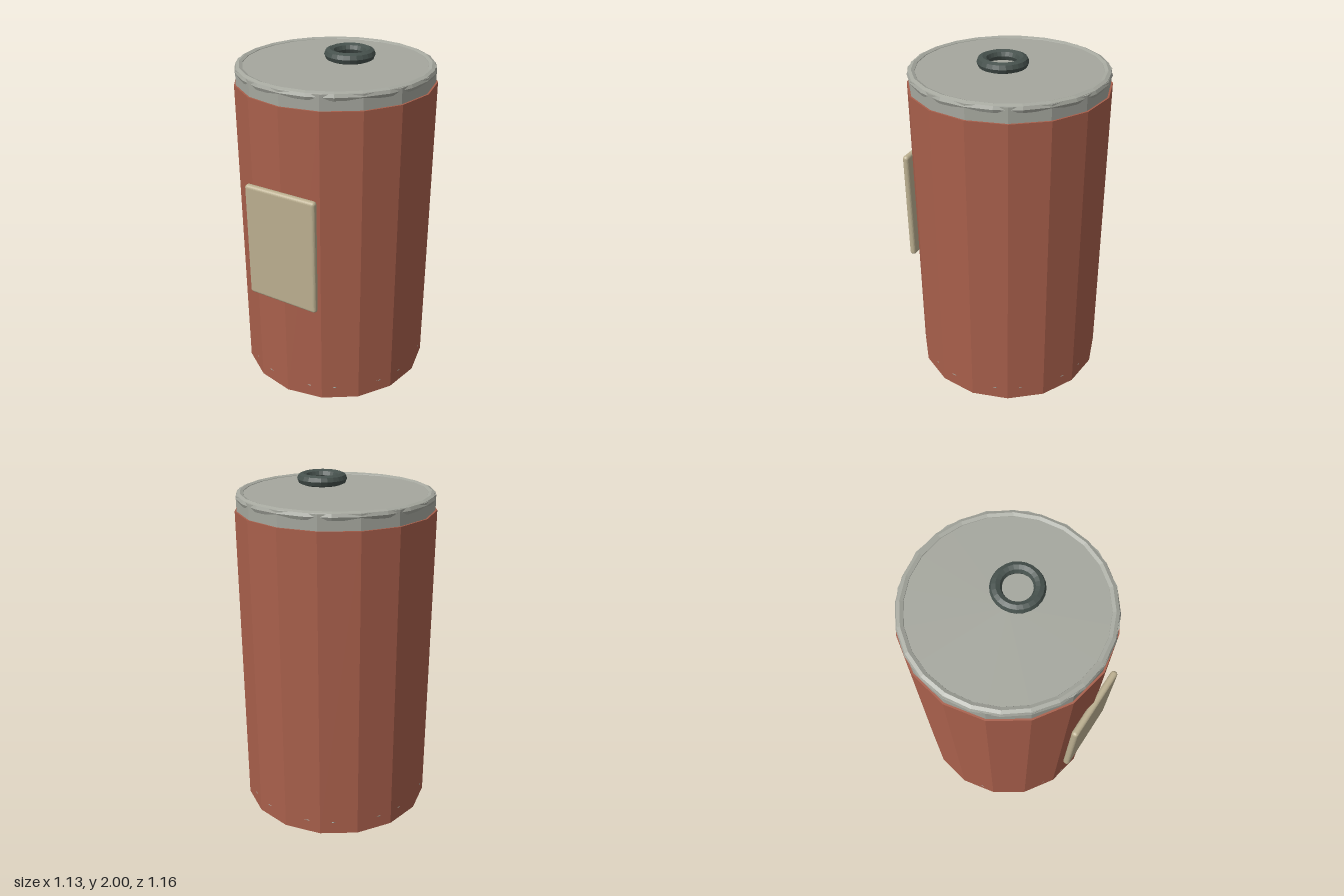
import * as THREE from 'three';
import { RoundedBoxGeometry } from 'three/addons/geometries/RoundedBoxGeometry.js';

const material = (color) => new THREE.MeshStandardMaterial({ color, flatShading: true });

export function createModel() {
  const model = new THREE.Group();
  const clay = material(0xa85f4b);
  const metal = material(0xa5a79e);
  const dark = material(0x46514d);
  const cream = material(0xbbaf90);
  const axisZ = -0.015; // the canister sits slightly behind the centre

  const add = (name, geometry, mat, x, y, z) => {
    const mesh = new THREE.Mesh(geometry, mat);
    mesh.name = name;
    mesh.position.set(x, y, z);
    model.add(mesh);
    return mesh;
  };

  // Horizontal ring
  const ring = (name, radius, tube, sides, segments, mat, x, y) => {
    const geometry = new THREE.TorusGeometry(radius, tube, sides, segments);
    geometry.rotateX(Math.PI / 2);
    return add(name, geometry, mat, x, y, axisZ);
  };

  // Sixteen-sided body and lid
  add('body', new THREE.CylinderGeometry(0.566, 0.566, 1.82, 16), clay, 0, 0.91, axisZ);
  add('lid', new THREE.CylinderGeometry(0.556, 0.556, 0.085, 16), metal, 0, 1.8625, axisZ);

  // Rims: the lower one only just breaks through the body walls
  ring('lidRim', 0.533, 0.025, 8, 24, metal, 0, 1.89);
  ring('baseRim', 0.533, 0.025, 8, 24, metal, 0, 0.075);

  // Off-centre ring above the lid
  ring('handleRing', 0.109, 0.031, 8, 24, dark, 0.09, 1.969);

  // Label plate on the front
  add('label', new RoundedBoxGeometry(0.445, 0.69, 0.04, 3, 0.018), cream, 0, 1.003, 0.558);

  return model;
}
